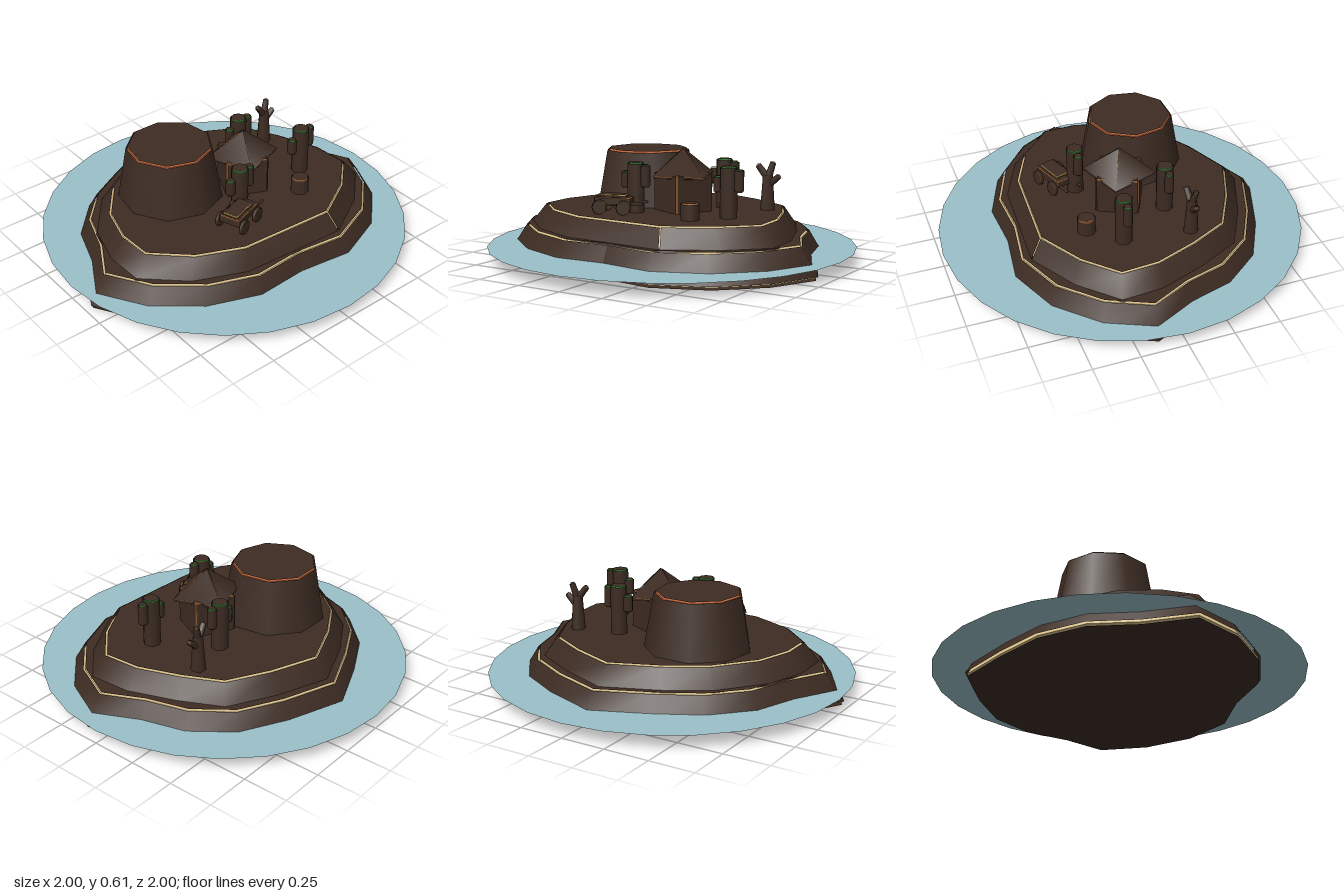
import * as THREE from 'three';

const mat = (name, color) => {
  const m = new THREE.MeshStandardMaterial({ color, side: THREE.DoubleSide });
  m.name = name;
  return m;
};

// Island outlines as [x, z], running from the front round past +x
const SHORE = [[0, .64], [.30, .68], [.58, .57], [.785, .37], [.90, .125], [.785, -.105],
  [.715, -.345], [.555, -.55], [.31, -.68], [0, -.79], [-.29, -.665], [-.535, -.535],
  [-.715, -.345], [-.80, -.105], [-.93, .125], [-.785, .365], [-.56, .55], [-.285, .655]];
const PLATEAU = [[.27, .525], [.505, .39], [.67, .23], [.655, .03], [.57, -.195],
  [.47, -.395], [.25, -.515], [0, -.61], [-.255, -.505], [-.455, -.385], [-.625, -.17],
  [-.685, .035], [-.68, .22], [-.50, .39], [-.26, .495]];

// Tapered layer whose sides follow an outline scaled at top and bottom
function layer(ring, top, bottom, y0, y1) {
  const n = ring.length;
  const g = new THREE.CylinderGeometry(top, bottom, y1 - y0, n);
  const p = g.attributes.position;
  for (let i = 0; i < p.count; i++) {
    const x = p.getX(i), z = p.getZ(i), r = Math.hypot(x, z);
    if (r < 1e-4) continue;
    const k = (Math.round(Math.atan2(x, z) / (2 * Math.PI) * n) + n) % n;
    p.setX(i, ring[k][0] * r);
    p.setZ(i, ring[k][1] * r);
  }
  g.computeVertexNormals();
  return g.translate(0, (y0 + y1) / 2, 0);
}

export function createModel() {
  const sand = mat('sand', 0xd9c08a), clay = mat('clay', 0xc0653a), green = mat('cactus green', 0x2f7d32);
  const wood = mat('wood', 0x8b5a2b), plaster = mat('plaster', 0xb8733f), straw = mat('straw', 0xd0b055);
  const dark = mat('dark outline', 0x3d2c23), water = mat('water', 0x9bc0c9);
  const model = new THREE.Group();

  const group = (name, x, y, z, ry = 0) => {
    const g = new THREE.Group();
    g.name = name;
    g.position.set(x, y, z);
    g.rotation.y = ry;
    model.add(g);
    return g;
  };

  // Coloured core plus a dark shell pushed out along the normals, open at hard edges
  function part(parent, name, geo, material, t = .006) {
    const core = new THREE.Mesh(geo, material);
    core.name = name;
    const shellGeo = geo.clone();
    const p = shellGeo.attributes.position, n = shellGeo.attributes.normal;
    for (let i = 0; i < p.count; i++)
      p.setXYZ(i, p.getX(i) + n.getX(i) * t, p.getY(i) + n.getY(i) * t, p.getZ(i) + n.getZ(i) * t);
    const shell = new THREE.Mesh(shellGeo, dark);
    shell.name = name + 'Outline';
    parent.add(core, shell);
  }

  const post = (r0, r1, y0, y1, n = 10, x = 0) =>
    new THREE.CylinderGeometry(r1, r0, y1 - y0, n).translate(x, (y0 + y1) / 2, 0);

  // Round stick between two points
  function stick(a, b, r0, r1) {
    const A = new THREE.Vector3(...a), d = new THREE.Vector3(...b).sub(A);
    const g = new THREE.CylinderGeometry(r1, r0, d.length(), 6).translate(0, d.length() / 2, 0);
    const q = new THREE.Quaternion().setFromUnitVectors(new THREE.Vector3(0, 1, 0), d.normalize());
    return g.applyQuaternion(q).translate(...a);
  }

  // Sea
  const sea = new THREE.Mesh(new THREE.CircleGeometry(1, 28).rotateX(-Math.PI / 2), water);
  sea.name = 'sea';
  sea.position.y = .076;
  model.add(sea);

  // Island layers
  const island = group('island', 0, 0, 0);
  part(island, 'shore', layer(SHORE, .925, 1.032, .0125, .155), sand, .0125);
  part(island, 'plateau', layer(PLATEAU, 1, 1.125, .15, .259), sand, .0125);

  // Flat-topped rock
  part(group('mesa', -.253, 0, -.143), 'mesaRock', post(.278, .224, .26, .563, 9), clay, .009);

  // Hut with a pointed roof turned across the walls
  const hut = group('hut', .097, 0, .04, -.44);
  part(hut, 'hutWalls', new THREE.BoxGeometry(.215, .21, .215).translate(0, .365, 0), plaster, .007);
  part(hut, 'hutRoof', new THREE.ConeGeometry(.19, .14, 4).translate(0, .53, 0), wood, .007);

  // Cacti with two arms each
  for (const [x, z] of [[.235, -.165], [.43, .135], [-.08, .23]]) {
    const cactus = group('cactus', x, .26, z);
    part(cactus, 'cactusTrunk', post(.04, .04, 0, .272), green);
    part(cactus, 'cactusLeftArm', post(.02, .02, .155, .262, 8, .062), green);
    part(cactus, 'cactusRightArm', post(.02, .02, .145, .222, 8, -.062), green);
  }

  // Dead tree
  const tree = group('deadTree', .47, .26, -.22);
  part(tree, 'treeTrunk', post(.036, .022, 0, .2, 7), wood, .005);
  part(tree, 'treeBranch', stick([0, .14, 0], [.065, .195, 0], .016, .011), wood, .005);
  part(tree, 'treeBranch', stick([0, .18, 0], [-.055, .25, .01], .016, .011), wood, .005);
  part(tree, 'treeBranch', stick([0, .18, 0], [.025, .265, -.012], .016, .011), wood, .005);

  // Barrel
  part(group('barrel', .293, .26, .29), 'barrelBody', post(.043, .043, 0, .093, 12), plaster);

  // Cart with load, wheels and handles
  const cart = group('cart', -.155, 0, .315, .33);
  part(cart, 'cartBed', new THREE.BoxGeometry(.19, .035, .11).translate(0, .34, 0), plaster, .005);
  part(cart, 'cartLoad', new THREE.BoxGeometry(.15, .015, .08).translate(-.01, .362, 0), straw, .004);
  for (const s of [-1, 1]) {
    for (const x of [-.065, .065])
      part(cart, 'cartWheel', new THREE.CylinderGeometry(.037, .037, .012, 12)
        .rotateX(Math.PI / 2).translate(x, .31, s * .072), wood, .004);
    part(cart, 'cartHandle', stick([.08, .33, s * .045], [.165, .33, s * .045], .005, .005), wood, .003);
  }
  return model;
}
